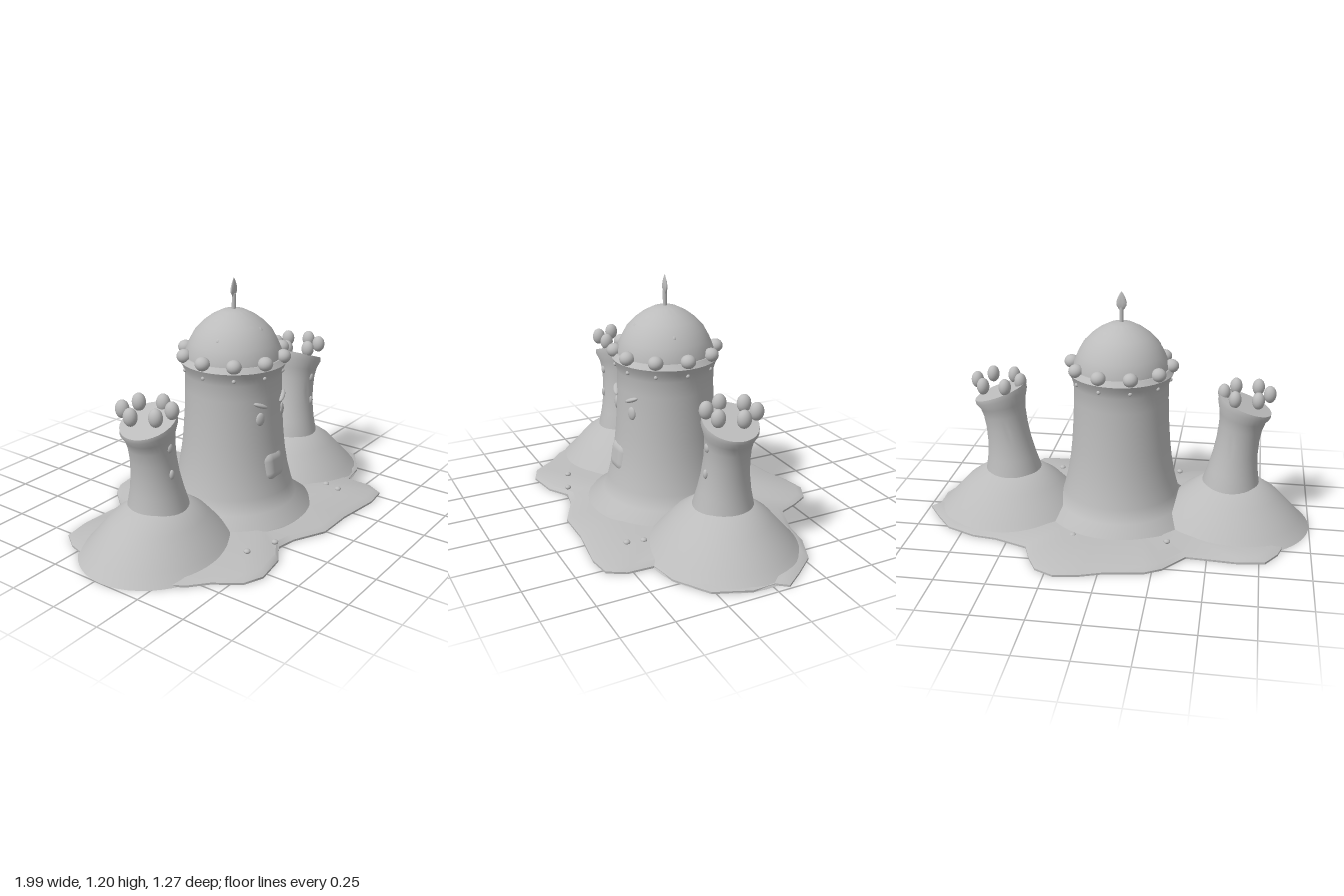
import * as THREE from 'three';
import { toCreasedNormals } from 'three/addons/utils/BufferGeometryUtils.js';
import { RoundedBoxGeometry } from 'three/addons/geometries/RoundedBoxGeometry.js';

const CX = -0.02; // mirror axis of the castle
const sand = new THREE.MeshStandardMaterial({ color: 0xbcbcbc });
sand.name = 'sandGrey';

function add(parent, name, geometry, x = 0, y = 0, z = 0) {
  const mesh = new THREE.Mesh(geometry, sand);
  mesh.name = name;
  mesh.position.set(x, y, z);
  parent.add(mesh);
  return mesh;
}

// Ellipsoid used for balls, eyes, buttons and pebbles
function blob(parent, name, x, y, z, rx, ry = rx, rz = rx) {
  const mesh = add(parent, name, new THREE.SphereGeometry(1, 20, 14), x, y, z);
  mesh.scale.set(rx, ry, rz);
  return mesh;
}

function lathe(points, segments = 48) {
  return new THREE.LatheGeometry(points.map(p => new THREE.Vector2(...p)), segments);
}

// Irregular slab of sand rising gently toward the middle
function groundGeometry() {
  const outline = [
    [-0.78, -0.385], [-0.65, -0.405], [-0.4, -0.39], [-0.295, -0.515], [-0.215, -0.56],
    [-0.02, -0.59], [0.08, -0.625], [0.205, -0.645], [0.3, -0.6], [0.35, -0.51],
    [0.39, -0.41], [0.56, -0.35], [0.68, -0.335], [0.83, -0.27], [0.92, -0.16],
    [0.99, -0.065], [0.95, -0.015], [0.955, 0.1], [0.885, 0.27], [0.72, 0.375],
    [0.58, 0.4], [0.575, 0.53], [0.525, 0.615], [0.41, 0.63], [0.175, 0.6],
    [-0.015, 0.6], [-0.175, 0.52], [-0.275, 0.5], [-0.38, 0.565], [-0.54, 0.59],
    [-0.635, 0.55], [-0.72, 0.43], [-0.8, 0.36], [-0.9, 0.2], [-0.9, -0.1], [-0.84, -0.3],
  ];
  const rings = [[0, 0], [1, 0], [1, 0.01], [0.95, 0.025], [0.62, 0.045], [0, 0.045]]; // scale, height
  const positions = [], index = [], n = outline.length;
  for (const [s, y] of rings) for (const [x, z] of outline) positions.push(x * s, y, z * s);
  for (let r = 0; r < rings.length - 1; r++) {
    for (let i = 0; i < n; i++) {
      const a = r * n + i, b = r * n + (i + 1) % n;
      index.push(a, a + n, b, b, a + n, b + n);
    }
  }
  const g = new THREE.BufferGeometry();
  g.setAttribute('position', new THREE.Float32BufferAttribute(positions, 3));
  g.setIndex(index);
  return toCreasedNormals(g, 0.6);
}

// Side tower: flared tube that leans outward with a slanted top
function leaningTowerGeometry(side) {
  const g = lathe([
    [0.15, 0.2], [0.144, 0.235], [0.126, 0.31], [0.113, 0.39], [0.107, 0.47],
    [0.108, 0.54], [0.115, 0.59], [0.132, 0.635], [0.13, 0.66], [0, 0.66],
  ], 36);
  const p = g.attributes.position;
  for (let i = 0; i < p.count; i++) {
    const x = p.getX(i), y = p.getY(i);
    const u = Math.max(0, (y - 0.235) / 0.425);
    p.setX(i, x + side * 0.055 * Math.pow(u, 1.2));
    p.setY(i, y - side * x * 0.36 * u ** 3);
  }
  return toCreasedNormals(g, 0.7);
}

function sideTower(side) {
  const group = new THREE.Group();
  group.name = side > 0 ? 'leftTower' : 'rightTower';
  group.position.set(CX + side * 0.57, 0, 0.03);

  // Sloping mound
  const mound = add(group, 'mound', toCreasedNormals(
    lathe([[0, 0], [1, 0], [0.87, 0.052], [0.6, 0.17], [0.37, 0.235], [0, 0.235]]), 0.6));
  mound.scale.set(0.41, 1, side > 0 ? 0.375 : 0.358);

  add(group, 'towerBody', leaningTowerGeometry(side));

  // Battlement balls
  for (let i = 0; i < 6; i++) {
    const a = i * Math.PI / 3;
    blob(group, 'battlementBall', side * 0.06 + 0.112 * Math.cos(a), 0.713, 0.112 * Math.sin(a),
      0.031, 0.043, 0.034);
  }

  // Front buttons
  blob(group, 'button', side * 0.035, 0.545, 0.106, 0.017, 0.023, 0.012);
  blob(group, 'button', side * 0.03, 0.415, 0.11, 0.014, 0.023, 0.012);
  return group;
}

function mainTower() {
  const group = new THREE.Group();
  group.name = 'mainTower';
  group.position.set(CX, 0, 0.05);

  // Body with flared foot and collar
  add(group, 'towerBody', toCreasedNormals(lathe([
    [0, 0], [0.41, 0], [0.4, 0.04], [0.32, 0.09], [0.297, 0.16], [0.277, 0.24], [0.262, 0.33],
    [0.252, 0.42], [0.244, 0.54], [0.24, 0.65], [0.24, 0.73], [0.25, 0.765], [0.265, 0.795],
    [0.245, 0.82], [0, 0.82],
  ], 64), 0.8));

  // Domed roof
  add(group, 'dome', toCreasedNormals(lathe([
    [0.24, 0.8], [0.238, 0.84], [0.217, 0.89], [0.19, 0.94], [0.152, 0.98],
    [0.11, 1.012], [0.06, 1.038], [0, 1.048],
  ]), 0.8));

  // Ring of balls with small beads beneath
  for (let i = 0; i < 10; i++) {
    const a = i * Math.PI / 5, c = Math.cos(a), s = Math.sin(a);
    blob(group, 'roofBall', 0.252 * c, 0.83, 0.252 * s, 0.037, 0.034, 0.037);
    blob(group, 'collarBead', 0.248 * c, 0.757, 0.248 * s, 0.01);
  }

  // Sprinkles over the front of the dome
  for (const [x, y, z] of [[-0.18, 0.935, 0.04], [-0.117, 0.957, 0.113], [0, 0.968, 0.155],
    [0.117, 0.957, 0.113], [0.18, 0.935, 0.04]]) {
    const seed = blob(group, 'domeSprinkle', x, y, z, 0.012, 0.016, 0.008);
    seed.rotation.order = 'YXZ';
    seed.rotation.set(-0.8, Math.atan2(x, z), 0);
  }

  // Candle and flat flame
  add(group, 'candle', new THREE.CylinderGeometry(0.01, 0.01, 0.1, 16), 0, 1.07, 0);
  const flame = add(group, 'flame', toCreasedNormals(lathe([
    [0, 1.1], [0.012, 1.108], [0.024, 1.128], [0.026, 1.143], [0.019, 1.167], [0.008, 1.188], [0, 1.2],
  ], 20), 0.9));
  flame.scale.z = 0.3;

  // Eyes and slanted brows
  for (const side of [-1, 1]) {
    const eye = blob(group, 'eye', side * 0.092, 0.552, 0.225, 0.024, 0.033, 0.012);
    eye.rotation.y = side * 0.38;
    const brow = blob(group, 'brow', side * 0.092, 0.621, 0.226, 0.043, 0.011, 0.016);
    brow.rotation.set(0, side * 0.38, side * 0.4);
  }

  // Rounded doorway mouth
  const mouth = add(group, 'mouth', new RoundedBoxGeometry(0.16, 0.165, 0.11, 5, 0.052), -0.013, 0.292, 0.222);
  mouth.rotation.x = -0.15;
  return group;
}

export function createModel() {
  const model = new THREE.Group();
  model.name = 'sandCastle';
  add(model, 'ground', groundGeometry());
  model.add(mainTower(), sideTower(-1), sideTower(1));

  // Pebbles scattered on the ground
  for (const [x, z] of [[-0.445, 0.435], [-0.295, 0.49], [0.393, 0.365], [0.377, 0.445],
    [-0.3, -0.31], [0.17, -0.315]]) {
    blob(model, 'pebble', x, 0.042, z, 0.016, 0.011, 0.016);
  }
  return model;
}
